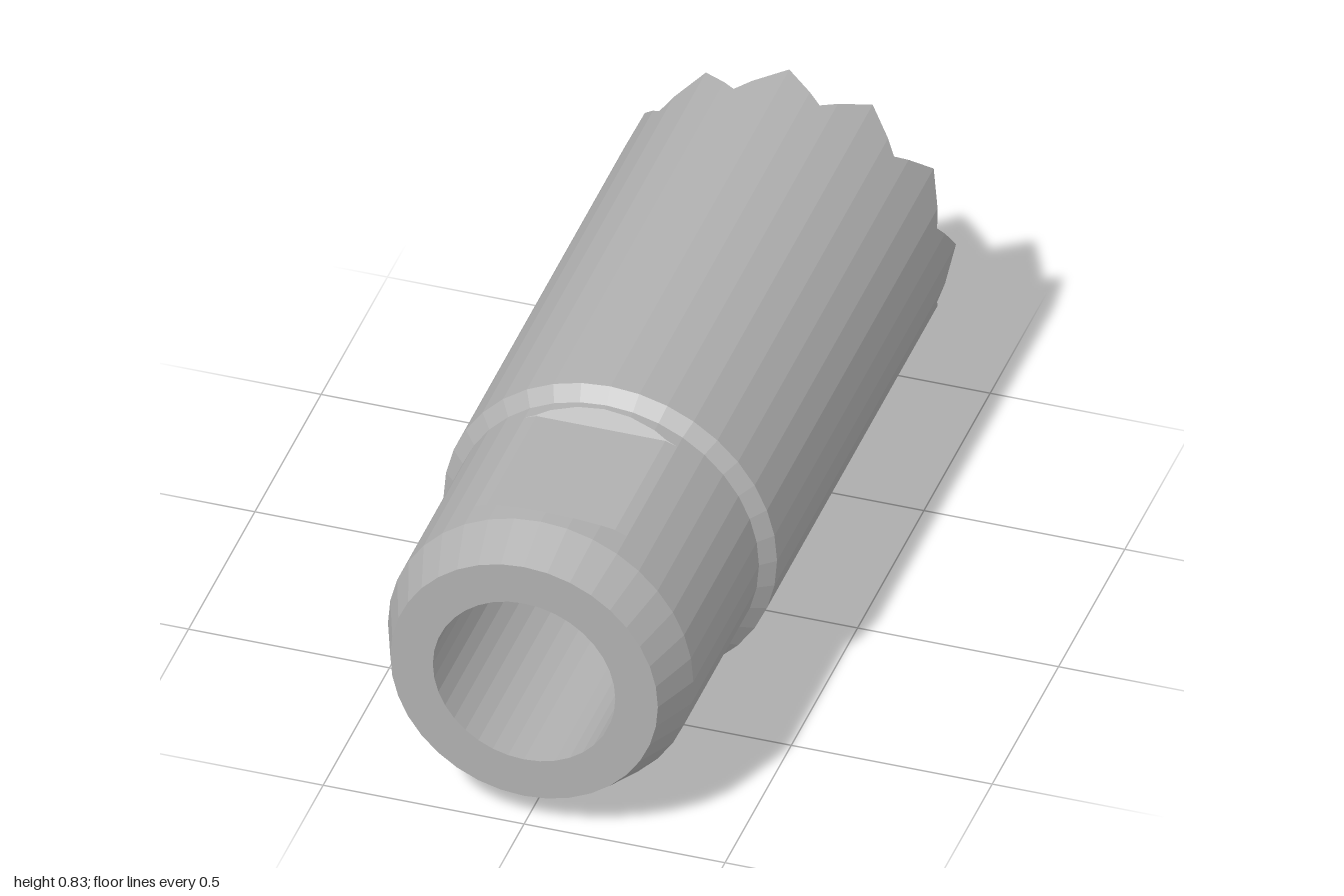
import * as THREE from 'three';

const RAD = Math.PI / 180;
const BORE = 0.115, CAVITY = 0.227, RIM = 0.345, BODY = 0.415, NECK = 0.38;
const FLAT = 0.34;                          // distance of the wrench flats from the axis
const FLOOR = -0.45;                        // floor of the front cavity
const PORT = { centre: 0.241, radius: 0.076 };

// radius of a regular n-gon (vertex at 0 degrees) in direction a
const ngon = (r, n, a) => {
  const step = 360 / n, m = ((a % step) + step) % step;
  return r * Math.cos(step / 2 * RAD) / Math.cos((m - step / 2) * RAD);
};
const polar = (r, a, z) => [r * Math.cos(a * RAD), r * Math.sin(a * RAD), z];
const coneZ = (r) => -0.66 - 0.24 * (r - BORE) / (RIM - BORE);
// sawtooth edge: 12 points, tips at every 30 degrees
const toothZ = (a) => -0.905 - 0.095 * Math.abs((((a % 30) + 30) % 30) - 15) / 15;

// skin a list of closed loops with equal point counts
function loft(loops) {
  const n = loops[0].length, index = [];
  for (let i = 0; i < loops.length - 1; i++) {
    for (let j = 0; j < n; j++) {
      const k = (j + 1) % n, a = i * n + j, b = i * n + k;
      index.push(a, a + n, b, b, a + n, b + n);
    }
  }
  const g = new THREE.BufferGeometry();
  g.setAttribute('position', new THREE.Float32BufferAttribute(loops.flat(2), 3));
  g.setIndex(index);
  g.computeVertexNormals();
  return g;
}

// loop of 72 points around the axis; z may be a rule of angle and point
function ring(r, z, sides = 36, flat = false) {
  return Array.from({ length: 72 }, (_, i) => {
    const a = i * 5, q = ngon(r, sides, a);
    const p = polar(q, a, 0);
    p[2] = typeof z === 'function' ? z(a, q, Math.abs(p[1])) : z;
    if (flat) p[1] = THREE.MathUtils.clamp(p[1], -FLAT, FLAT);
    return p;
  });
}

// one 60 degree sector of the dish, with its round port running forward
function portSector(mid) {
  const square = [], edge = [];
  for (let i = 0; i < 24; i++) {
    const e = ((i + 3) % 6) / 3 - 1;
    const [v, u] = [[1, e], [-e, 1], [-1, -e], [e, -1]][Math.floor((i + 3) / 6) % 4];
    const a = mid + u * 30;
    const inner = ngon(BORE, 12, a), outer = ngon(RIM, 36, a);
    square.push([THREE.MathUtils.lerp(inner, outer, (v + 1) / 2), a]);
    const q = ngon(PORT.radius, 12, i * 15);
    const x = PORT.centre + q * Math.cos(i * 15 * RAD), y = q * Math.sin(i * 15 * RAD);
    edge.push([Math.hypot(x, y), mid + Math.atan2(y, x) / RAD]);
  }
  const loops = [0, 1 / 3, 2 / 3, 1].map((t) => square.map((s, i) => {
    const r = THREE.MathUtils.lerp(s[0], edge[i][0], t);
    return polar(r, THREE.MathUtils.lerp(s[1], edge[i][1], t), coneZ(r));
  }));
  loops.push(edge.map(([r, a]) => polar(r, a, FLOOR)));
  return loft(loops);
}

// where the port circle crosses the cavity wall
const cross = Math.acos((CAVITY ** 2 + PORT.centre ** 2 - PORT.radius ** 2) / (2 * CAVITY * PORT.centre)) / RAD;
const crossLocal = Math.atan2(CAVITY * Math.sin(cross * RAD), CAVITY * Math.cos(cross * RAD) - PORT.centre) / RAD;

function portPoint(mid, local) {
  const x = PORT.centre + PORT.radius * Math.cos(local * RAD), y = PORT.radius * Math.sin(local * RAD);
  return new THREE.Vector2(x, y).rotateAround(new THREE.Vector2(), mid * RAD);
}
const wallPoint = (a) => new THREE.Vector2(CAVITY * Math.cos(a * RAD), CAVITY * Math.sin(a * RAD));

// cavity floor with a central bore and six scalloped ports
function floorShape() {
  const pts = [];
  for (let k = 0; k < 6; k++) {
    const mid = 30 + k * 60;
    for (const l of [360 - crossLocal, 240, 210, 180, 150, 120, crossLocal]) pts.push(portPoint(mid, l));
    for (const a of [20, 30, 40]) pts.push(wallPoint(mid + a));
  }
  const shape = new THREE.Shape(pts);
  const bore = Array.from({ length: 12 }, (_, i) => new THREE.Vector2(...polar(BORE, i * 30, 0).slice(0, 2)));
  shape.holes.push(new THREE.Path(bore));
  return shape;
}

// blind end of a port, outside the cavity wall
function crescentShape() {
  const pts = [-crossLocal, -90, -60, -30, 0, 30, 60, 90, crossLocal].map((l) => portPoint(90, l));
  for (const a of [10, 0, -10]) pts.push(wallPoint(90 + a));
  return new THREE.Shape(pts);
}

export function createModel() {
  const metal = new THREE.MeshStandardMaterial({ color: 0xb0b0b0, flatShading: true });
  metal.name = 'grey metal';

  const model = new THREE.Group();
  model.name = 'muzzleDevice';
  const axis = new THREE.Group();
  axis.name = 'tube';
  axis.position.y = BODY;
  model.add(axis);
  const add = (name, geometry) => {
    const mesh = new THREE.Mesh(geometry, metal);
    mesh.name = name;
    axis.add(mesh);
    return mesh;
  };

  // front socket and face
  add('frontSocket', loft([ring(CAVITY, FLOOR), ring(CAVITY, 1)]));
  add('frontFace', loft([ring(CAVITY, 1), ring(0.333, 1)]));

  // neck with two wrench flats, their ends sloping out to the round surface
  const over = (y) => Math.max(0, y - FLAT);
  add('neck', loft([
    ring(0.333, 1),
    ring(NECK, 0.875),
    ring(NECK, (a, r, y) => 0.8 + 0.875 * over(y)),
    ring(NECK, 0.8, 36, true),
    ring(NECK, 0.42, 36, true),
    ring(NECK, (a, r, y) => 0.42 - 0.6 * over(y)),
    ring(NECK, 0.38),
  ]));

  // main barrel and toothed crown
  add('barrel', loft([ring(NECK, 0.38), ring(BODY, 0.35), ring(BODY, toothZ)]));
  add('crownTeeth', loft([
    ring(BODY, toothZ),
    ring(RIM, toothZ),
    ring(RIM, (a, r) => coneZ(r)),
  ]));

  // rear dish, bore and ports
  add('centreBore', loft([ring(BORE, (a, r) => coneZ(r), 12), ring(BORE, FLOOR, 12)]));
  add('socketFloor', new THREE.ShapeGeometry(floorShape())).position.z = FLOOR;
  for (let k = 0; k < 6; k++) {
    add('dishPort' + (k + 1), portSector(30 + k * 60));
    const end = new THREE.ShapeGeometry(crescentShape()).rotateY(Math.PI).rotateZ(k * 60 * RAD);
    add('portEnd' + (k + 1), end).position.z = FLOOR;
  }
  return model;
}
